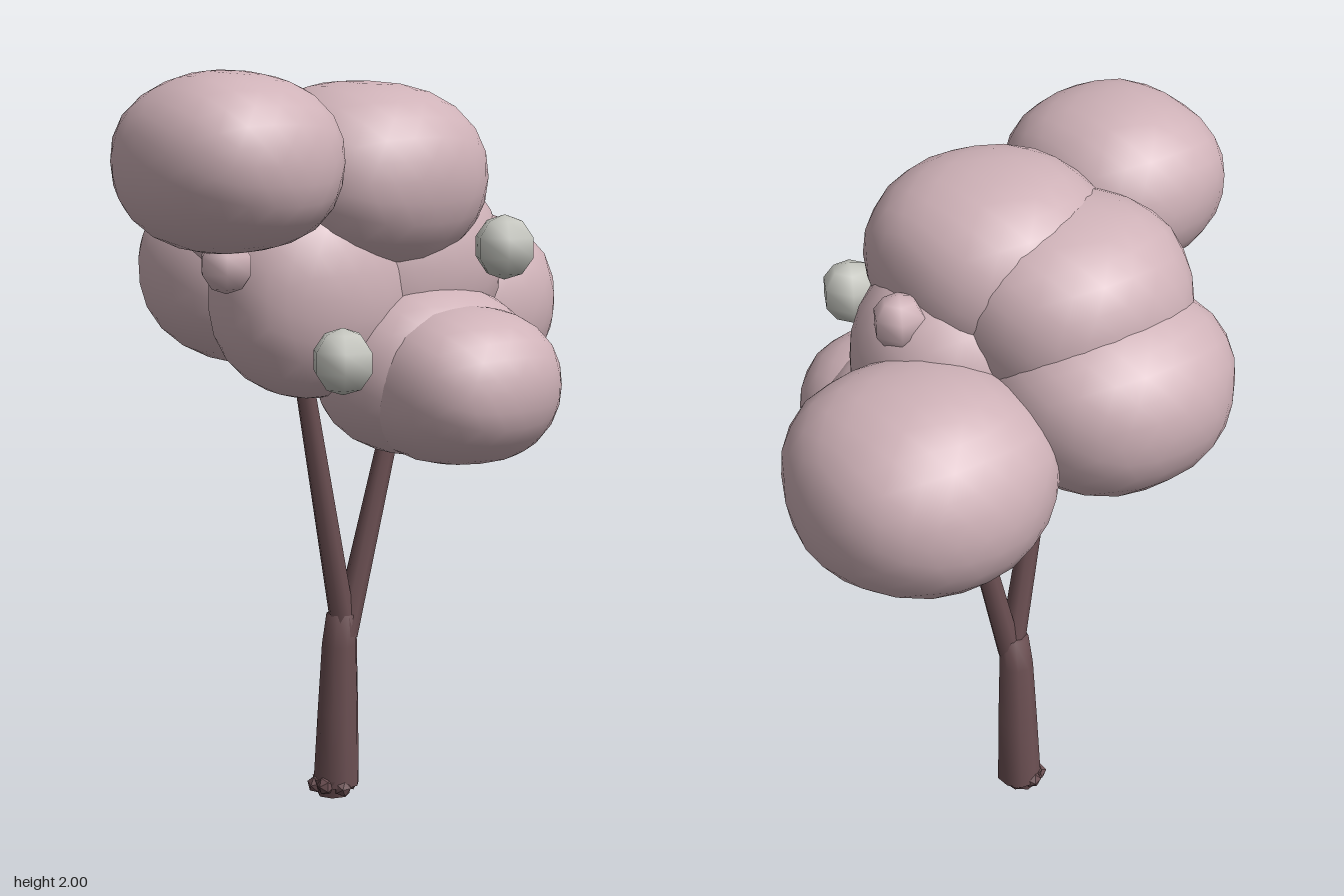
import * as THREE from 'three';
import { mergeVertices } from 'three/addons/utils/BufferGeometryUtils.js';

const foliage = new THREE.MeshStandardMaterial({ color: 0xcfb2b8 });
foliage.name = 'dusty pink foliage';
const bark = new THREE.MeshStandardMaterial({ color: 0x6c5053 });
bark.name = 'dark bark';
const fruitGrey = new THREE.MeshStandardMaterial({ color: 0xc6c7c0 });
fruitGrey.name = 'pale grey fruit';

// Rounded, slightly boxy and uneven clump of leaves
function clumpGeometry(rx, ry, rz, seed) {
  let geo = new THREE.IcosahedronGeometry(1, 4);
  geo.deleteAttribute('normal');
  geo.deleteAttribute('uv');
  geo = mergeVertices(geo, 1e-4);
  const pos = geo.attributes.position;
  const v = new THREE.Vector3();
  const power = 2.25;
  for (let i = 0; i < pos.count; i++) {
    v.fromBufferAttribute(pos, i).normalize();
    const sum = Math.abs(v.x) ** power + Math.abs(v.y) ** power + Math.abs(v.z) ** power;
    const wobble = 1 + 0.015 * Math.sin(4 * v.x + 3 * v.y + seed) * Math.cos(4 * v.z + seed * 2);
    v.multiplyScalar(wobble / sum ** (1 / power));
    pos.setXYZ(i, v.x * rx, v.y * ry, v.z * rz);
  }
  geo.computeVertexNormals();
  return geo;
}

// Tapered limb between two points
function limb(name, from, to, r0, r1) {
  const a = new THREE.Vector3(...from), b = new THREE.Vector3(...to);
  const dir = b.clone().sub(a);
  const mesh = new THREE.Mesh(new THREE.CylinderGeometry(r1, r0, dir.length(), 8), bark);
  mesh.name = name;
  mesh.position.copy(a).add(b).multiplyScalar(0.5);
  mesh.quaternion.setFromUnitVectors(new THREE.Vector3(0, 1, 0), dir.normalize());
  return mesh;
}

// Leaning trunk lofted from rings: [x, y, z, radius]
function trunkGeometry() {
  const rings = [
    [-0.024, 0.03, 0.028, 0.064], [-0.015, 0.24, 0.028, 0.057],
    [-0.008, 0.43, 0.028, 0.049], [0.002, 0.52, 0.028, 0.042], [0.002, 0.52, 0.028, 0.001],
  ];
  const sides = 9, verts = [], index = [];
  rings.forEach(([x, y, z, r], j) => {
    for (let i = 0; i < sides; i++) {
      const a = (i / sides) * Math.PI * 2;
      verts.push(x + r * Math.sin(a), y, z + r * Math.cos(a));
      if (j === 0) continue;
      const n = (i + 1) % sides, lo = (j - 1) * sides, hi = j * sides;
      index.push(lo + i, lo + n, hi + i, lo + n, hi + n, hi + i);
    }
  });
  const geo = new THREE.BufferGeometry();
  geo.setAttribute('position', new THREE.Float32BufferAttribute(verts, 3));
  geo.setIndex(index);
  geo.computeVertexNormals();
  return geo;
}

export function createModel() {
  const tree = new THREE.Group();
  tree.name = 'tree';

  // Trunk and forked branches
  const trunk = new THREE.Mesh(trunkGeometry(), bark);
  trunk.name = 'trunk';
  tree.add(trunk);
  tree.add(limb('frontBranch', [0.005, 0.46, 0.02], [0.04, 1.25, 0.19], 0.036, 0.025));
  tree.add(limb('backBranch', [0.005, 0.46, 0.02], [0.04, 1.15, -0.14], 0.036, 0.025));

  // Knobbly root collar
  const roots = new THREE.Group();
  roots.name = 'roots';
  for (let i = 0; i < 6; i++) {
    const a = (i / 6) * Math.PI * 2;
    const root = new THREE.Mesh(new THREE.IcosahedronGeometry(0.026, 0), bark);
    root.name = 'root';
    root.position.set(-0.025 + 0.047 * Math.cos(a), 0.03 + 0.006 * (i % 2), 0.04 + 0.045 * Math.sin(a));
    root.rotation.set(i, i * 2, 0);
    roots.add(root);
  }
  const collar = new THREE.Mesh(new THREE.CylinderGeometry(0.06, 0.045, 0.05, 7), bark);
  collar.name = 'rootCollar';
  collar.position.set(-0.025, 0.025, 0.038);
  roots.add(collar);
  tree.add(roots);

  // Leaf clumps: name, centre, radii
  const clumps = [
    ['backClump', [-0.185, 1.335, -0.42], [0.335, 0.275, 0.34]],
    ['rightClump', [-0.27, 1.45, 0.11], [0.32, 0.26, 0.33]],
    ['upperClump', [-0.11, 1.63, 0.1], [0.325, 0.27, 0.33]],
    ['crownClump', [0.07, 1.715, 0.01], [0.32, 0.255, 0.32]],
    ['frontTopClump', [0.15, 1.77, 0.48], [0.295, 0.23, 0.28]],
    ['frontLowerClump', [0.08, 1.42, 0.18], [0.22, 0.28, 0.28]],
    ['coreClump', [0.04, 1.48, -0.11], [0.26, 0.28, 0.3]],
    ['leftOuterClump', [0.33, 1.18, -0.12], [0.26, 0.21, 0.26]],
    ['leftInnerClump', [0.19, 1.21, -0.11], [0.26, 0.23, 0.3]],
  ];
  clumps.forEach(([name, centre, radii], i) => {
    const clump = new THREE.Mesh(clumpGeometry(...radii, i * 1.7), foliage);
    clump.name = name;
    clump.position.set(...centre);
    tree.add(clump);
  });

  // Small six-sided fruits and buds
  const ball = new THREE.SphereGeometry(0.085, 6, 5);
  ball.rotateY(Math.PI / 6);
  const balls = [
    ['upperFruit', fruitGrey, [0.395, 1.54, -0.215], 1],
    ['lowerFruit', fruitGrey, [0.41, 1.28, 0.31], 1],
    ['frontBud', foliage, [0.13, 1.51, 0.475], 0.88],
    ['backBud', foliage, [0.005, 1.66, -0.335], 0.88],
  ];
  for (const [name, material, centre, size] of balls) {
    const mesh = new THREE.Mesh(ball, material);
    mesh.name = name;
    mesh.position.set(...centre);
    mesh.scale.setScalar(size);
    tree.add(mesh);
  }
  return tree;
}
